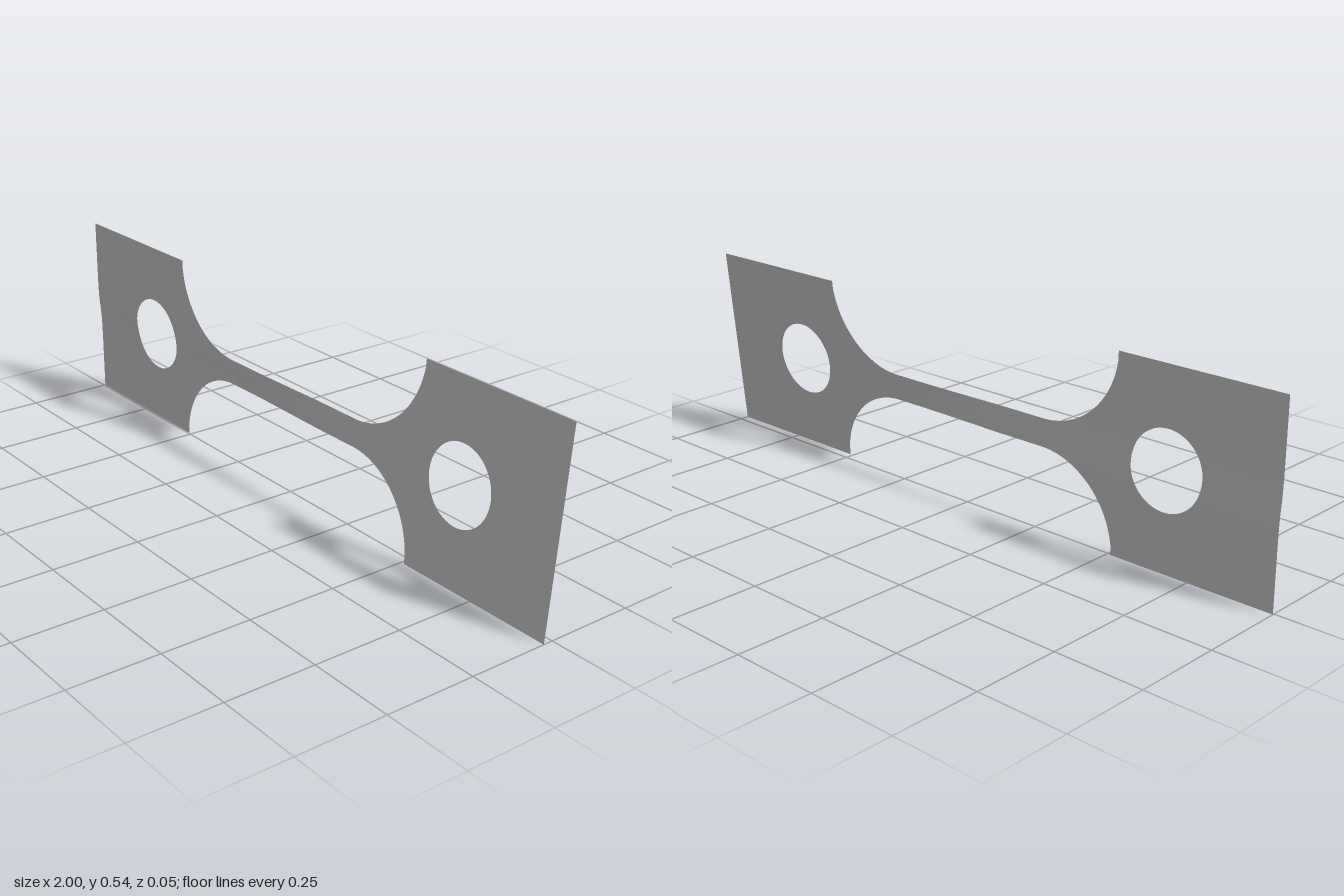
import * as THREE from 'three';

const MID = 0.272;          // half height of the grips, and the height of the long axis
const NECK = 0.038;         // half height of the neck
const GRIP = 0.51;          // where each grip starts
const FILLET = { x: 0.27, y: 0.28, r: 0.242 };
const HOLE = { x: 0.67, r: 0.108 };

// Out-of-plane twist of the sheet: nearly flat at -x, tilted at +x
function twist(x, dy) {
  const t = THREE.MathUtils.smoothstep(x, -0.18, 0.18);
  return (1 - t) * 0.004 * Math.tanh(dy / 0.04) - t * 0.1 * dy;
}

// Grid surface from a rule giving [x, height above axis], bent by the twist
function sheet(nu, nv, rule) {
  const pos = [], nor = [], index = [], e = 0.002;
  for (let i = 0; i <= nu; i++) {
    for (let j = 0; j <= nv; j++) {
      const [x, dy] = rule(i / nu, j / nv);
      pos.push(x, MID + dy, twist(x, dy));
      const n = new THREE.Vector3(
        (twist(x - e, dy) - twist(x + e, dy)) / (2 * e),
        (twist(x, dy - e) - twist(x, dy + e)) / (2 * e), 1).normalize();
      nor.push(n.x, n.y, n.z);
      if (i < nu && j < nv) {
        const a = i * (nv + 1) + j, b = a + nv + 1;
        index.push(a, b, b + 1, a, b + 1, a + 1);
      }
    }
  }
  const g = new THREE.BufferGeometry();
  g.setAttribute('position', new THREE.Float32BufferAttribute(pos, 3));
  g.setAttribute('normal', new THREE.Float32BufferAttribute(nor, 3));
  g.setIndex(index);
  return g;
}

// Rectangular grip with a round hole, spun from the hole out to the rectangle
function gripGeometry(side) {
  const cx = side * HOLE.x;
  const x0 = side > 0 ? GRIP : -1, x1 = side > 0 ? 1 : -GRIP;
  const corners = [[x1, -MID], [x1, MID], [x0, MID], [x0, -MID]];
  return sheet(10, 96, (u, v) => {
    const s = v * 4, k = Math.floor(s) % 4, f = s - Math.floor(s);
    const a = corners[k], b = corners[(k + 1) % 4];
    const ox = a[0] + (b[0] - a[0]) * f, oy = a[1] + (b[1] - a[1]) * f;
    const ang = Math.atan2(oy, ox - cx);
    const hx = cx + HOLE.r * Math.cos(ang), hy = HOLE.r * Math.sin(ang);
    return [hx + (ox - hx) * u, hy + (oy - hy) * u];
  });
}

// Shoulder with round fillets, from the neck out to a grip
function shoulderGeometry(side) {
  const end = Math.asin((GRIP - FILLET.x) / FILLET.r);
  return sheet(32, 24, (u, v) => {
    const a = (side > 0 ? u : 1 - u) * end;
    const half = FILLET.y - FILLET.r * Math.cos(a);
    return [side * (FILLET.x + FILLET.r * Math.sin(a)), half * (2 * v - 1)];
  });
}

export function createModel() {
  const model = new THREE.Group();
  model.name = 'twistedTestSpecimen';
  const steel = new THREE.MeshStandardMaterial({ color: 0xb2b2b2, side: THREE.DoubleSide });
  steel.name = 'plain grey';

  const add = (name, geometry) => {
    const mesh = new THREE.Mesh(geometry, steel);
    mesh.name = name;
    model.add(mesh);
  };

  // Narrow straight neck
  add('neck', sheet(40, 12, (u, v) => [FILLET.x * (2 * u - 1), NECK * (2 * v - 1)]));

  // Shoulders and grips on both ends
  for (const side of [1, -1]) {
    const label = side > 0 ? 'left' : 'right';
    add(label + 'Shoulder', shoulderGeometry(side));
    add(label + 'Grip', gripGeometry(side));
  }
  return model;
}
